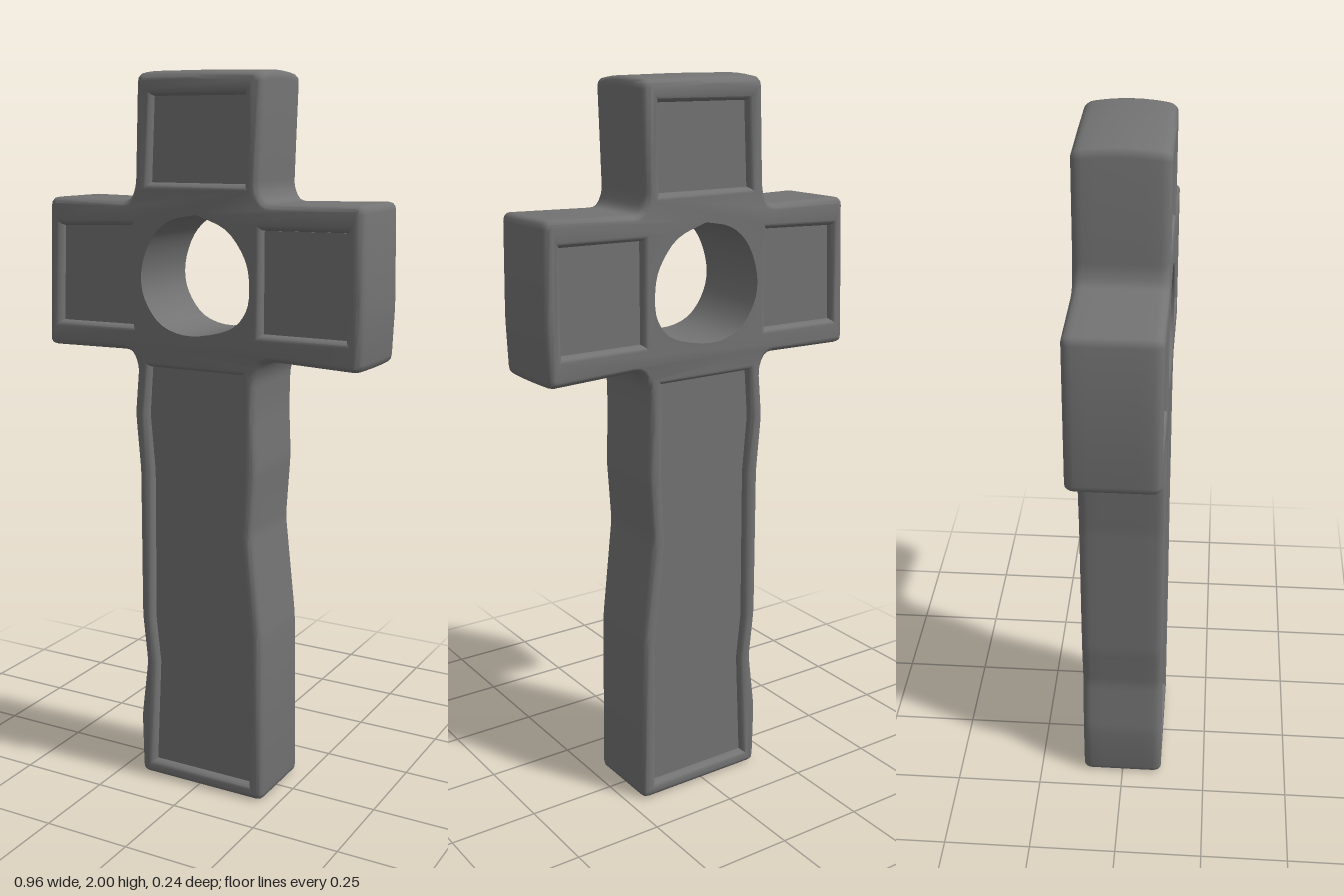
import * as THREE from 'three';
import { toCreasedNormals } from 'three/addons/utils/BufferGeometryUtils.js';

const HALF = 0.118;    // half thickness of the stone
const BEVEL = 0.016;   // inward bevel at the faces
const THICK = 0.025;   // how deep the bevel reaches
const CORE = HALF - THICK;
const HOLE = { x: -0.005, y: 1.47, reach: 0.195 };

const vectors = (pts) => pts.map(([x, y]) => new THREE.Vector2(x, y));

// Closed shape whose corners are softened by radius r
function softShape(pts, r) {
  const p = vectors(pts), n = p.length, shape = new THREE.Shape();
  p.forEach((c, i) => {
    const toward = (q) => c.clone().add(q.clone().sub(c).setLength(Math.min(r, q.distanceTo(c) * 0.4)));
    const a = toward(p[(i + n - 1) % n]), b = toward(p[(i + 1) % n]);
    if (i === 0) shape.moveTo(a.x, a.y); else shape.lineTo(a.x, a.y);
    shape.quadraticCurveTo(c.x, c.y, b.x, b.y);
  });
  shape.closePath();
  return shape;
}

// Worn outline, counter-clockwise from the foot
const outline = [
  [-0.188, 0], [0.208, 0], [0.2, 0.49], [0.168, 0.78], [0.18, 0.96], [0.174, 1.1], [0.176, 1.21],
  [0.2, 1.258], [0.477, 1.247], [0.483, 1.4], [0.477, 1.667], [0.2, 1.662], [0.18, 1.7], [0.197, 1.996],
  [0, 2], [-0.179, 2], [-0.19, 1.7], [-0.208, 1.662], [-0.466, 1.667], [-0.482, 1.253], [-0.207, 1.257],
  [-0.188, 1.215], [-0.2, 1.08], [-0.186, 0.92], [-0.186, 0.49], [-0.171, 0.35], [-0.192, 0.18],
];

// Sunken panels
const panels = {
  topPanel: [[-0.144, 1.711], [0.139, 1.711], [0.14, 1.933], [-0.133, 1.933]],
  leftArmPanel: [[0.193, 1.328], [0.43, 1.328], [0.43, 1.597], [0.193, 1.595]],
  rightArmPanel: [[-0.438, 1.325], [-0.203, 1.327], [-0.203, 1.596], [-0.427, 1.589]],
  shaftPanel: [
    [-0.145, 0.044], [0.162, 0.044], [0.157, 0.48], [0.125, 0.77], [0.136, 0.96], [0.131, 1.1], [0.135, 1.214],
    [-0.147, 1.214], [-0.157, 1.08], [-0.143, 0.92], [-0.145, 0.48], [-0.131, 0.35],
  ],
};

// Uneven round opening at the crossing
const opening = [
  [0, 1.63], [0.09, 1.595], [0.145, 1.525], [0.16, 1.455], [0.15, 1.385], [0.1, 1.335],
  [-0.015, 1.31], [-0.105, 1.333], [-0.158, 1.4], [-0.168, 1.475], [-0.138, 1.56], [-0.08, 1.612],
];

// Moves a point away from the centre of the opening by the given distance
function pushOut(x, y, distance) {
  const dx = x - HOLE.x, dy = y - HOLE.y, k = 1 + distance / Math.hypot(dx, dy);
  return [HOLE.x + dx * k, HOLE.y + dy * k];
}

function frameGeometry() {
  const shape = softShape(outline, 0.022);
  for (const pts of Object.values(panels)) shape.holes.push(new THREE.Path(vectors(pts)));
  // The opening starts one bevel too small, so it has its true size at the faces
  const ring = new THREE.SplineCurve(vectors([...opening, opening[0]])).getPoints(48).slice(0, -1);
  shape.holes.push(new THREE.Path(vectors(ring.map((p) => pushOut(p.x, p.y, -BEVEL)))));

  const geo = new THREE.ExtrudeGeometry(shape, {
    depth: 2 * CORE, steps: 6, curveSegments: 3,
    bevelSize: BEVEL, bevelOffset: -BEVEL, bevelThickness: THICK, bevelSegments: 4,
  });
  geo.translate(0, 0, -CORE);

  const pos = geo.attributes.position;
  for (let i = 0; i < pos.count; i++) {
    let x = pos.getX(i), y = pos.getY(i);
    const z = pos.getZ(i);
    // Straight wall through the opening, with a crisp edge
    if (Math.hypot(x - HOLE.x, y - HOLE.y) < HOLE.reach) {
      const t = Math.min(1, Math.max(0, (Math.abs(z) - CORE) / THICK));
      [x, y] = pushOut(x, y, BEVEL * Math.sqrt(1 - t * t));
    }
    // Slight bulge on the worn arm end, head side and crown
    const bow = Math.min(1, (z / HALF) ** 2);
    if (x > 0.455) x -= 0.006 * bow;
    if (y > 1.75 && x > 0.166) x -= 0.008 * bow;
    if (y > 1.96) y -= 0.01 * bow;
    pos.setXY(i, x, y);
  }
  return toCreasedNormals(geo, 0.75);
}

export function createModel() {
  const group = new THREE.Group();
  group.name = 'stoneCross';
  const material = new THREE.MeshStandardMaterial({ color: 0x737373 });
  const add = (name, geo) => {
    const mesh = new THREE.Mesh(geo, material);
    mesh.name = name;
    group.add(mesh);
  };

  add('crossFrame', frameGeometry());

  // Panel floors, sunken on front and back
  const floor = CORE + 0.003;
  for (const [name, pts] of Object.entries(panels)) {
    const geo = new THREE.ExtrudeGeometry(new THREE.Shape(vectors(pts)), { depth: 2 * floor, bevelEnabled: false });
    add(name, geo.translate(0, 0, -floor));
  }
  return group;
}
